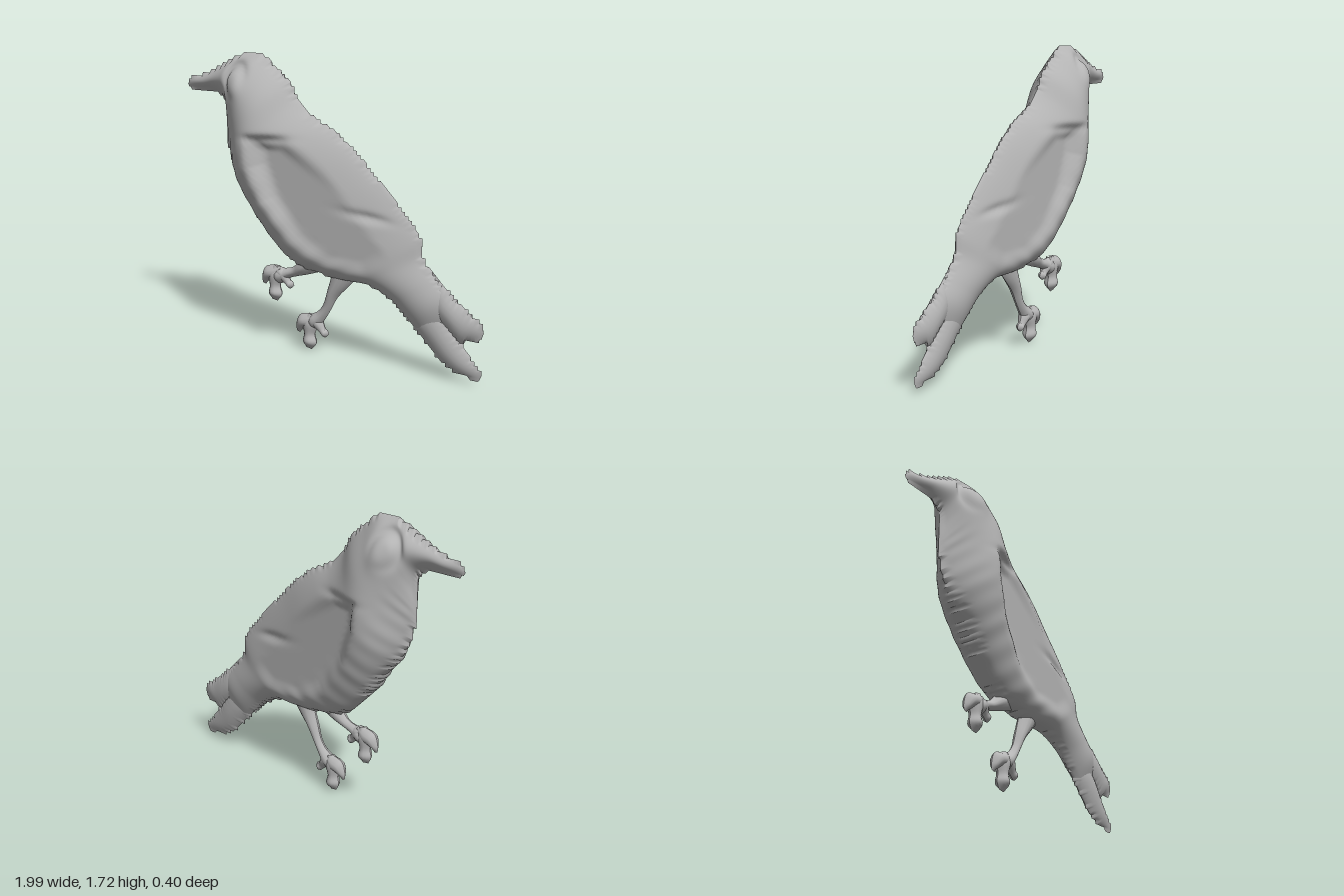
import * as THREE from 'three';

const { lerp, smoothstep } = THREE.MathUtils;
const SEAM = -0.013; // z of the central ridge

const plumage = new THREE.MeshStandardMaterial({ color: 0xb6b6b6 });
plumage.name = 'plain grey';

// Wing outline (convex, clockwise)
const WING = [[-0.45, 1.28], [-0.2, 1.29], [0.22, 1.04], [0.62, 0.74], [0.32, 0.51],
  [0.05, 0.51], [-0.17, 0.64], [-0.35, 0.88], [-0.43, 1.08]];

function insideWing(x, y) {
  let d = Infinity;
  WING.forEach(([ax, ay], i) => {
    const [bx, by] = WING[(i + 1) % WING.length];
    const ex = bx - ax, ey = by - ay;
    d = Math.min(d, ((x - ax) * ey - (y - ay) * ex) / Math.hypot(ex, ey));
  });
  return d;
}

const bump = (x, y, cx, cy, rx, ry) => Math.exp(-(((x - cx) / rx) ** 2) - ((y - cy) / ry) ** 2);

// Carved detail of the body: sunken wing, eye socket, feather ripples
function carve(h, x, y, u, t) {
  const wing = smoothstep(insideWing(x, y), 0, 0.11);
  h = lerp(h, Math.min(h, 0.1 - 0.05 * x), wing);
  const soft = Math.min(1, h / 0.05);
  const r = Math.hypot((x + 0.56) / 0.085, (y - 1.555) / 0.1);
  const upperLeft = 0.5 + 0.5 * Math.cos(Math.atan2(y - 1.555, x + 0.56) - 2.3);
  let d = -0.032 * Math.exp(-(((r - 0.9) / 0.28) ** 2)) * upperLeft;
  d += 0.016 * bump(x, y, -0.53, 1.53, 0.06, 0.08);
  d -= 0.018 * bump(x, y, 0.3, 0.86 - 0.15 * (x - 0.3), 0.13, 0.025);
  d -= 0.02 * bump(x, y, -0.3, 1.25, 0.12, 0.025);
  const breast = smoothstep(u, 0.3, 0.4) * (1 - smoothstep(u, 0.75, 0.85)) * (1 - smoothstep(t, 0.15, 0.4));
  d += 0.002 * Math.sin(u * 150) * breast;
  return Math.max(0, h + d * soft);
}

// Two mirrored half shells lofted between an upper and a lower edge.
// Station: [upperX, upperY, lowerX, lowerY, halfDepth]
function relief(name, stations, { nu = 24, nt = 10, skew = () => 1, power = () => 0.72, detail = h => h, jag = 0 } = {}) {
  const curve = pts => new THREE.CatmullRomCurve3(pts, false, 'catmullrom', 0.5);
  const upper = curve(stations.map(s => new THREE.Vector3(s[0], s[1], s[4])));
  const lower = curve(stations.map(s => new THREE.Vector3(s[2], s[3], 0)));
  const snap = v => (jag ? Math.round(v / jag) * jag - v : 0);
  const group = new THREE.Group();
  group.name = name;
  for (const side of [1, -1]) {
    const pos = [], index = [];
    for (let i = 0; i <= nu; i++) {
      const u = i / nu, T = upper.getPoint(u), B = lower.getPoint(u);
      const fade = Math.max(6, Math.hypot(T.x - B.x, T.y - B.y) / 0.035);
      for (let j = 0; j <= nt; j++) {
        const t = (1 - Math.cos(Math.PI * j / nt)) / 2;
        const wT = Math.max(0, 1 - (1 - t) * fade), wB = Math.max(0, 1 - t * fade);
        const x = lerp(B.x, T.x, t) + snap(T.x) * wT + snap(B.x) * wB;
        const y = lerp(B.y, T.y, t) + snap(T.y) * wT + snap(B.y) * wB;
        const arch = Math.pow(Math.max(0, Math.sin(Math.PI * Math.pow(t, skew(u)))), power(u));
        const h = j === 0 || j === nt ? 0 : detail(Math.max(0, T.z) * arch, x, y, u, t);
        pos.push(x, y, SEAM + side * h * (side > 0 ? 1.05 : 0.95));
        if (i < nu && j < nt) {
          const a = i * (nt + 1) + j, b = a + nt + 1;
          if (side > 0) index.push(a, b, b + 1, a, b + 1, a + 1);
          else index.push(a, b + 1, b, a, a + 1, b + 1);
        }
      }
    }
    const geo = new THREE.BufferGeometry();
    geo.setAttribute('position', new THREE.Float32BufferAttribute(pos, 3));
    geo.setIndex(index);
    geo.computeVertexNormals();
    const mesh = new THREE.Mesh(geo, plumage);
    mesh.name = name + (side > 0 ? 'LeftHalf' : 'RightHalf');
    group.add(mesh);
  }
  return group;
}

// Limb along a path of [x, y, halfWidth]
function limb(name, path) {
  const stations = path.map(([x, y, w], i) => {
    const a = path[Math.max(0, i - 1)], b = path[Math.min(path.length - 1, i + 1)];
    const l = Math.hypot(b[0] - a[0], b[1] - a[1]);
    const nx = -(b[1] - a[1]) / l * w, ny = (b[0] - a[0]) / l * w;
    return [x + nx, y + ny, x - nx, y - ny, i === path.length - 1 ? 0 : Math.min(0.042, w)];
  });
  return relief(name, stations, { nu: 20, nt: 8 });
}

function foot(name, x, y) {
  const g = new THREE.Group();
  g.name = name;
  const toes = {
    FrontToe: [[0.05, 0.04, 0.02], [0, 0.01, 0.045], [-0.045, -0.005, 0.045], [-0.07, -0.04, 0.025], [-0.08, -0.072, 0.012]],
    MiddleToe: [[0.02, 0.055, 0.02], [0.005, 0, 0.055], [0, -0.07, 0.036], [0.002, -0.12, 0.046], [-0.005, -0.163, 0.02]],
    BackToe: [[0, 0.03, 0.02], [0.055, 0.01, 0.038], [0.09, -0.035, 0.024], [0.11, -0.05, 0.026], [0.132, -0.04, 0.012]],
  };
  for (const [toe, path] of Object.entries(toes)) g.add(limb(name + toe, path));
  g.position.set(x, y, 0);
  return g;
}

export function createModel() {
  const model = new THREE.Group();
  model.name = 'bird';

  // Beak, head, breast, back and rump in one sweep
  model.add(relief('body', [
    [-1, 1.515, -0.985, 1.487, 0], [-0.965, 1.55, -0.95, 1.482, 0.012], [-0.88, 1.572, -0.87, 1.48, 0.03],
    [-0.78, 1.61, -0.8, 1.475, 0.045], [-0.71, 1.645, -0.735, 1.45, 0.065], [-0.62, 1.69, -0.705, 1.41, 0.09],
    [-0.55, 1.71, -0.695, 1.34, 0.115], [-0.44, 1.71, -0.705, 1.25, 0.14], [-0.34, 1.64, -0.705, 1.19, 0.162],
    [-0.25, 1.565, -0.685, 1.12, 0.182], [-0.18, 1.455, -0.65, 1.02, 0.198], [-0.09, 1.38, -0.59, 0.93, 0.202],
    [0.04, 1.315, -0.5, 0.82, 0.19], [0.17, 1.225, -0.42, 0.715, 0.175], [0.3, 1.1, -0.32, 0.6, 0.155],
    [0.41, 0.995, -0.19, 0.51, 0.135], [0.52, 0.875, -0.02, 0.475, 0.115], [0.61, 0.765, 0.14, 0.46, 0.1],
    [0.63, 0.65, 0.29, 0.455, 0.085], [0.72, 0.55, 0.43, 0.385, 0.07], [0.8, 0.48, 0.56, 0.27, 0.055],
    [0.88, 0.41, 0.69, 0.15, 0],
  ], {
    nu: 220, nt: 44, jag: 0.022, detail: carve,
    skew: u => lerp(1.2, 0.66, smoothstep(u, 0.35, 0.6) - 0.4 * smoothstep(u, 0.8, 0.95)),
    power: u => lerp(0.9, 0.75, smoothstep(u, 0.45, 0.6)),
  }));

  // Forked tail, emerging gradually from the rump
  model.add(relief('upperTailFeathers', [
    [0.68, 0.59, 0.62, 0.4, 0], [0.75, 0.525, 0.7, 0.34, 0.035], [0.82, 0.465, 0.78, 0.28, 0.042],
    [0.9, 0.405, 0.85, 0.225, 0.034], [0.96, 0.365, 0.91, 0.24, 0.022], [1, 0.315, 0.98, 0.255, 0],
  ], { nu: 48, jag: 0.022 }));
  model.add(relief('lowerTailFeathers', [
    [0.66, 0.47, 0.47, 0.35, 0], [0.74, 0.39, 0.56, 0.27, 0.035], [0.81, 0.3, 0.65, 0.185, 0.042],
    [0.87, 0.215, 0.73, 0.105, 0.036], [0.93, 0.14, 0.83, 0.05, 0.024], [0.995, 0.07, 0.975, 0.025, 0],
  ], { nu: 48, jag: 0.022 }));

  // Legs and feet
  model.add(limb('rearLeg', [[0.13, 0.53, 0.09], [0.085, 0.44, 0.06], [0.04, 0.36, 0.038],
    [0.005, 0.28, 0.029], [-0.035, 0.22, 0.032], [-0.09, 0.17, 0.045], [-0.13, 0.14, 0.02]]));
  model.add(limb('frontLeg', [[-0.08, 0.54, 0.07], [-0.16, 0.49, 0.048], [-0.22, 0.455, 0.03],
    [-0.28, 0.435, 0.032], [-0.34, 0.41, 0.048], [-0.39, 0.39, 0.02]]));
  model.add(foot('rearFoot', -0.12, 0.163));
  model.add(foot('frontFoot', -0.365, 0.42));
  return model;
}
